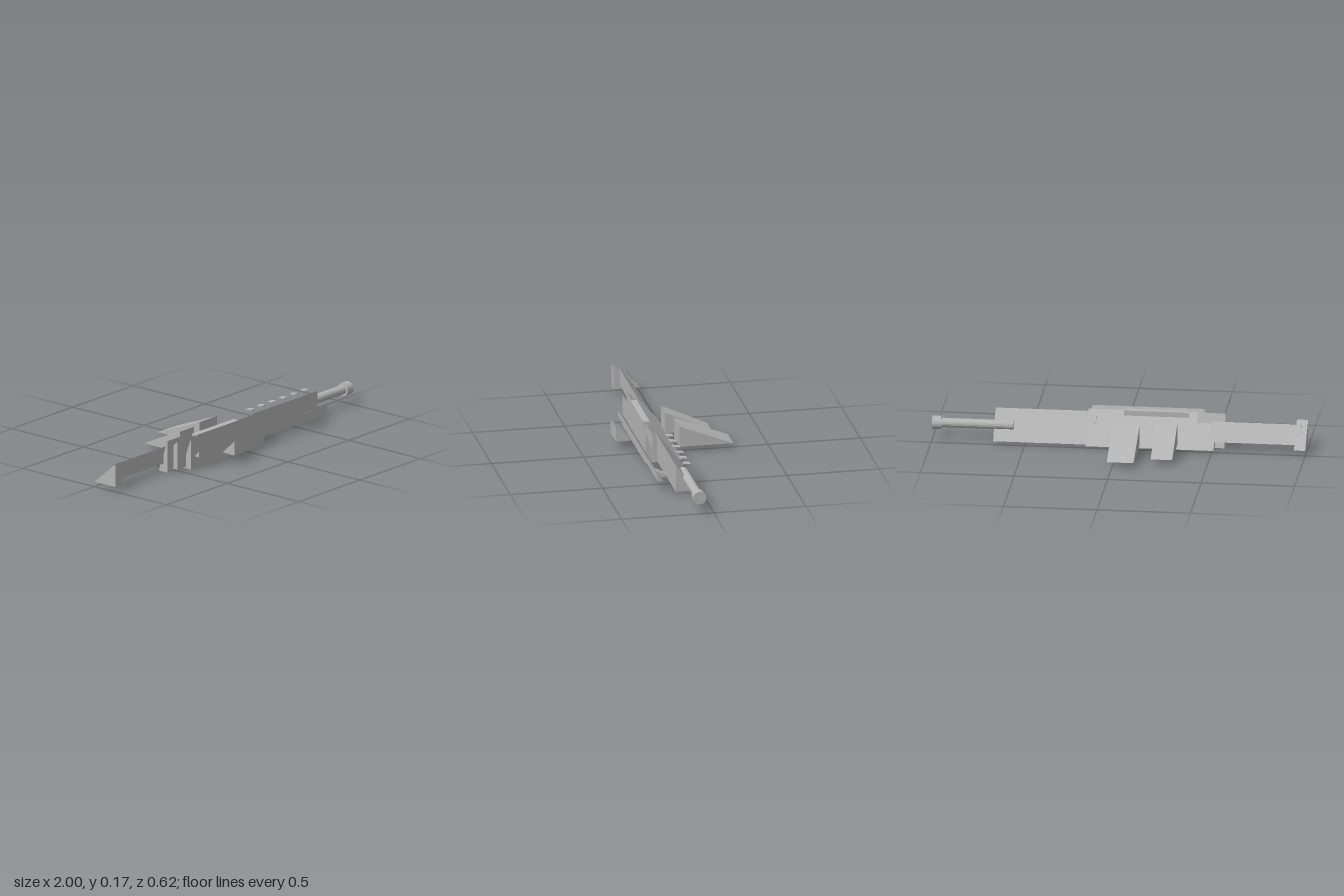
import * as THREE from 'three';

export function createModel() {
  const model = new THREE.Group();
  const grey = new THREE.MeshStandardMaterial({ color: 0xb4b4b4, flatShading: true });
  grey.name = 'grey metal';

  function add(name, geometry) {
    const mesh = new THREE.Mesh(geometry, grey);
    mesh.name = name;
    model.add(mesh);
    return mesh;
  }

  // Right-angled prism along x: upright face at zFront, sloping down to zBack
  function wedge(name, x0, x1, yBottom, yTop, zFront, zBack) {
    const shape = new THREE.Shape();
    shape.moveTo(-zFront, yBottom);
    shape.lineTo(-zBack, yBottom);
    shape.lineTo(-zFront, yTop);
    shape.closePath();
    const geometry = new THREE.ExtrudeGeometry(shape, { depth: x1 - x0, bevelEnabled: false });
    geometry.rotateY(Math.PI / 2);
    geometry.translate(x0, 0, 0);
    return add(name, geometry);
  }

  // Cylinder along x on the bore line
  function rod(name, x0, x1, radius) {
    const geometry = new THREE.CylinderGeometry(radius, radius, x1 - x0, 16);
    geometry.rotateZ(-Math.PI / 2);
    geometry.translate((x0 + x1) / 2, 0.09, 0.075);
    return add(name, geometry);
  }

  // Body
  wedge('receiver', -0.51, 0.175, 0.012, 0.168, 0.163, -0.003);
  wedge('receiverCover', -0.44, 0.16, 0.002, 0.177, 0.198, 0.135);
  wedge('rearCollar', -0.56, -0.41, 0.002, 0.177, 0.135, 0.075);
  wedge('handguard', 0.13, 0.67, 0.015, 0.163, 0.138, 0.015);

  // Side bar
  add('sideBar', new THREE.BoxGeometry(0.345, 0.034, 0.035)).position.set(-0.19, 0.155, 0.1555);

  // Stock and butt plate
  wedge('stock', -0.97, -0.485, 0.048, 0.139, 0.109, 0.035);
  wedge('buttPlate', -1, -0.94, 0.03, 0.155, 0.145, 0);

  // Grip and magazine
  wedge('grip', -0.315, -0.2, 0.032, 0.147, 0.015, -0.235);
  wedge('magazine', -0.117, 0.027, 0.032, 0.147, -0.015, -0.307);

  // Rail and sights
  wedge('rail', -0.41, 0.64, 0.07, 0.108, 0.23, 0.2);
  wedge('rearSight', -0.216, -0.072, 0.051, 0.128, 0.31, 0.228);
  wedge('frontSight', 0.522, 0.582, 0.07, 0.105, 0.225, 0.15);

  // Barrel and muzzle
  rod('barrel', 0.565, 0.96, 0.025);
  rod('muzzle', 0.952, 1, 0.036);

  // Thin vent tabs along both edges of the handguard
  for (let i = 0; i < 6; i++) {
    const x = 0.175 + i * 0.0893;
    wedge('upperVent', x, x + 0.038, 0.163, 0.167, 0.095, 0.055);
    wedge('lowerVent', x, x + 0.038, 0.011, 0.015, 0.095, 0.055);
  }

  return model;
}
